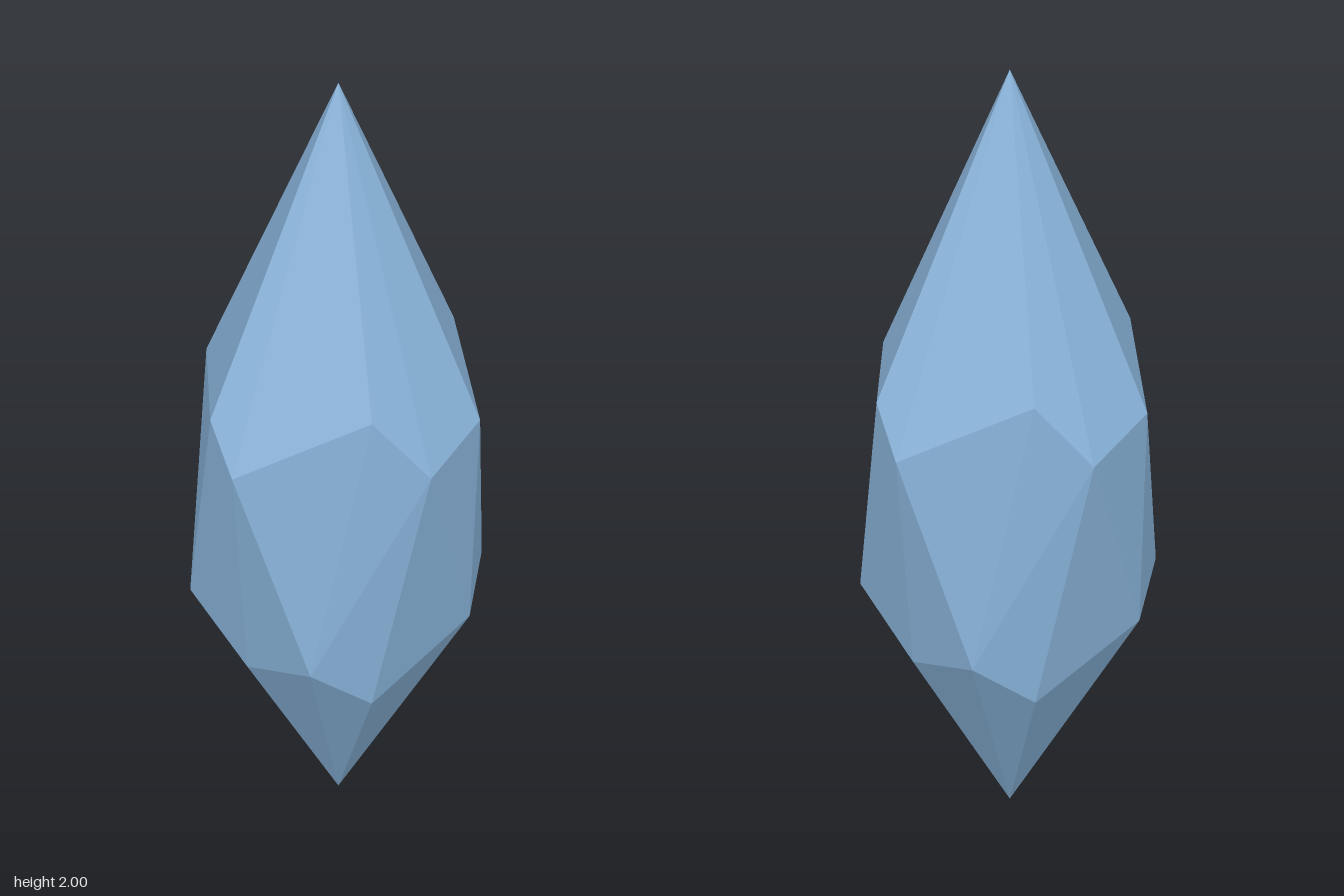
import * as THREE from 'three';
import { ConvexGeometry } from 'three/addons/geometries/ConvexGeometry.js';

export function createModel() {
  const group = new THREE.Group();
  group.name = 'crystal';

  const crystalBlue = new THREE.MeshStandardMaterial({ color: 0x86b0d6 });
  crystalBlue.name = 'crystalBlue';

  // Corners of half the crystal; the other half is turned 180 degrees about y
  const corners = [
    // lower ends of the upper ridges
    [-0.19, 1.345, 0.295], [0.16, 1.39, 0.27], [0.34, 1.3, 0.05],
    // low points of the upper girdle
    [-0.125, 1.24, 0.347], [0.28, 1.25, 0.228],
    // high points of the lower girdle
    [0.048, 0.73, 0.355], [-0.318, 0.76, 0.182],
    // upper ends of the lower ridges
    [0.17, 0.605, 0.27], [-0.14, 0.64, 0.275], [0.335, 0.7, 0],
  ];

  // Two tips and both halves
  const points = [new THREE.Vector3(0, 2, 0), new THREE.Vector3(0, 0, 0)];
  for (const [x, y, z] of corners) {
    points.push(new THREE.Vector3(x, y, z), new THREE.Vector3(-x, y, -z));
  }

  // Faceted body
  const body = new THREE.Mesh(new ConvexGeometry(points), crystalBlue);
  body.name = 'crystalBody';
  group.add(body);
  return group;
}
